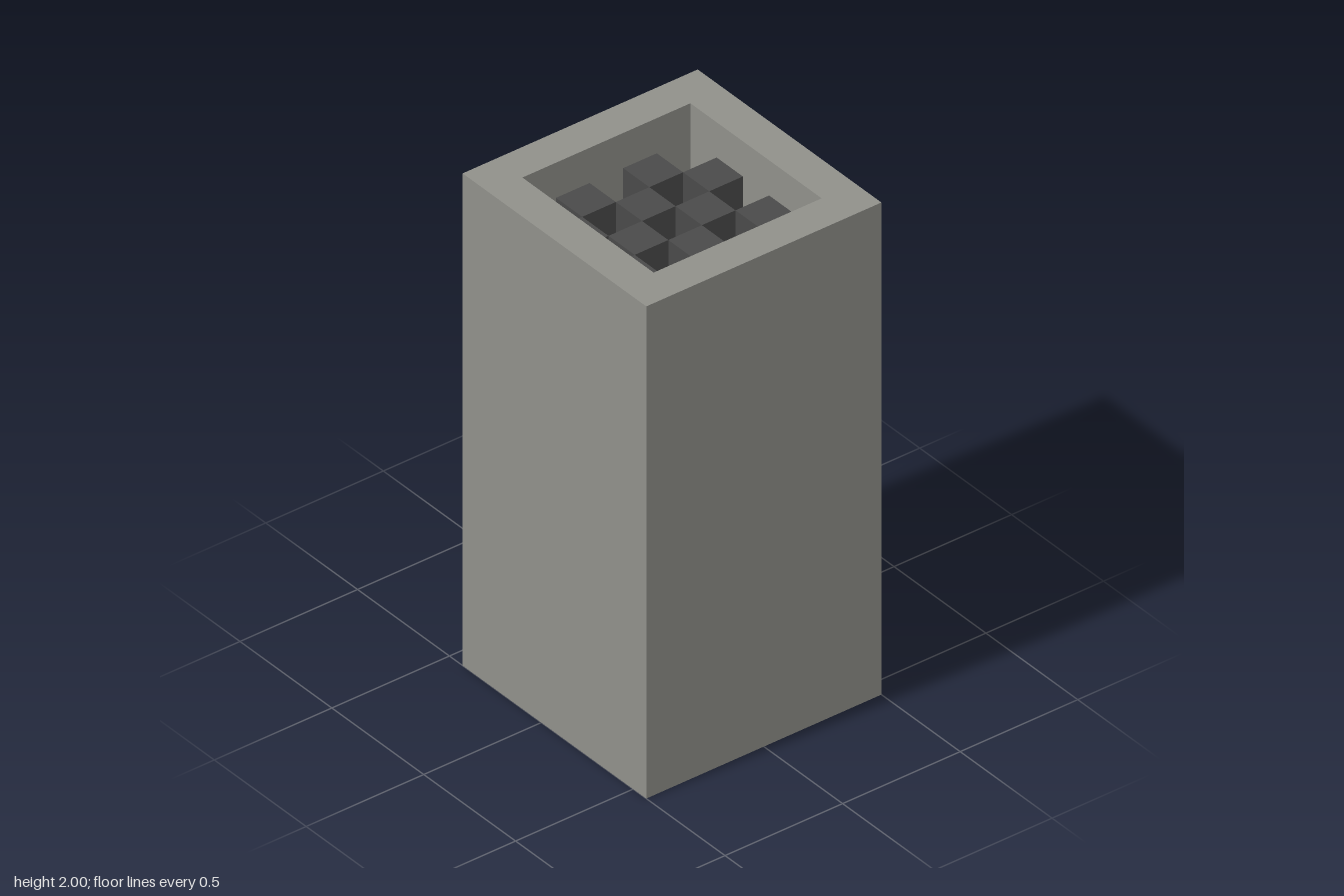
import * as THREE from 'three';

const U = 1 / 7;          // one block
const CX = 0.5 * U;       // tower centre in x

export function createModel() {
  const group = new THREE.Group();
  const stone = new THREE.MeshStandardMaterial({ color: 0x90908a });
  stone.name = 'stone grey';
  const dark = new THREE.MeshStandardMaterial({ color: 0x4a4a4a });
  dark.name = 'dark grey';

  // box standing on y0, sizes in world units
  const addBox = (name, material, w, h, d, x, y0, z) => {
    const mesh = new THREE.Mesh(new THREE.BoxGeometry(w, h, d), material);
    mesh.name = name;
    mesh.position.set(x, y0 + h / 2, z);
    group.add(mesh);
  };

  const square = (path, r) => path
    .moveTo(-r, -r).lineTo(r, -r).lineTo(r, r).lineTo(-r, r).closePath();

  // outer walls: square tube, one block thick
  const outline = new THREE.Shape();
  square(outline, 3.5 * U);
  const hole = new THREE.Path();
  square(hole, 2.5 * U);
  outline.holes.push(hole);
  const wallGeometry = new THREE.ExtrudeGeometry(outline, { depth: 14 * U, bevelEnabled: false });
  wallGeometry.rotateX(-Math.PI / 2);
  const walls = new THREE.Mesh(wallGeometry, stone);
  walls.name = 'towerWalls';
  walls.position.x = CX;
  group.add(walls);

  // solid core, its top is the floor of the recess
  addBox('towerCore', stone, 5 * U, 12 * U, 5 * U, CX, 0, 0);

  // checkerboard of dark blocks, one block below the rim
  for (let i = -2; i <= 2; i++) {
    for (let k = -2; k <= 2; k++) {
      if ((i + k) % 2 !== 0) addBox('grateBlock', dark, U, U, U, CX + i * U, 12 * U, k * U);
    }
  }

  // small side post with a dark band
  const postX = -3.5 * U;
  const bandLow = 0.16, bandHigh = 0.27;
  addBox('postBase', stone, U, bandLow, U, postX, 0, 0);
  addBox('postBand', dark, U, bandHigh - bandLow, U, postX, bandLow, 0);
  addBox('postTop', stone, U, 3 * U - bandHigh, U, postX, bandHigh, 0);

  return group;
}
